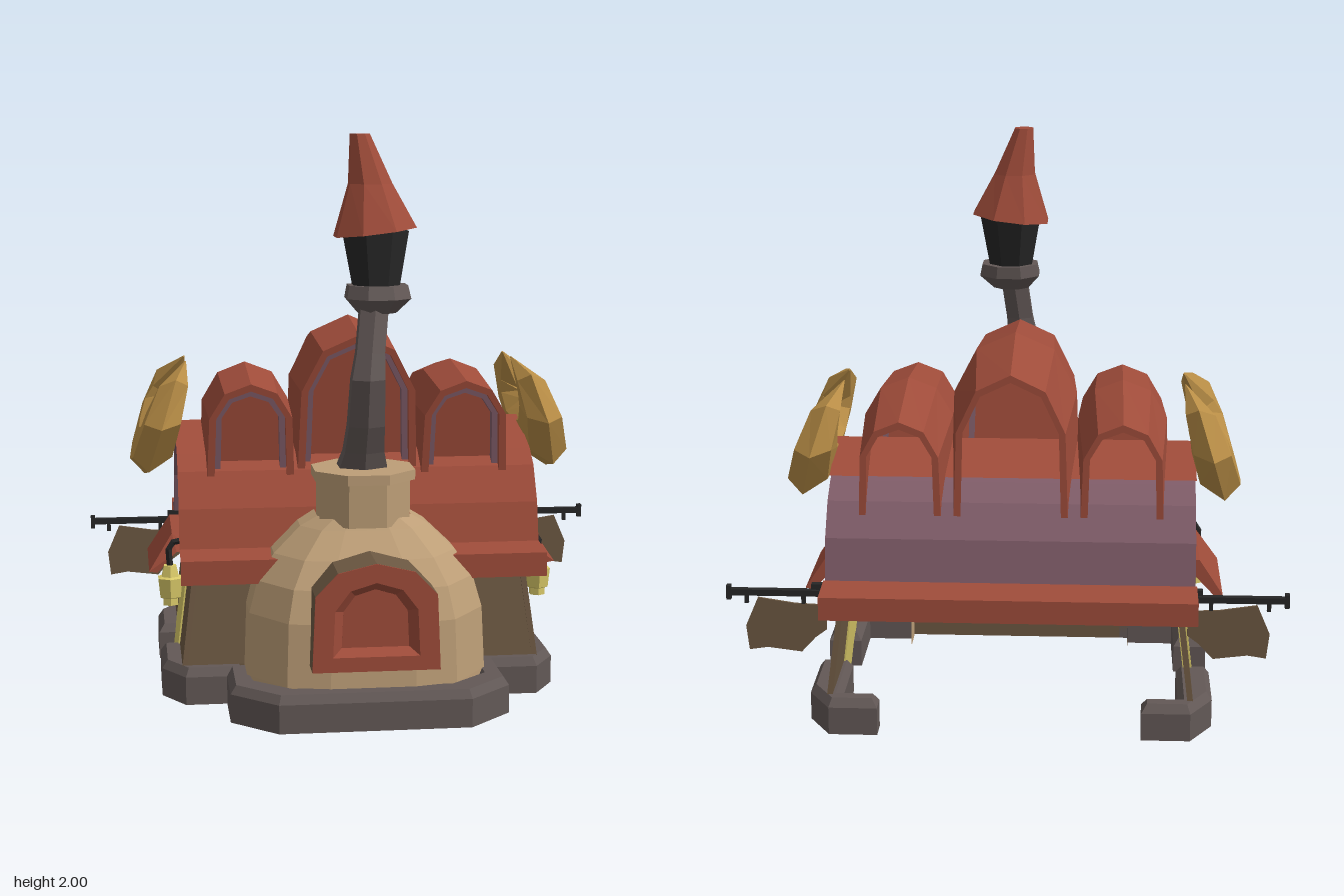
import * as THREE from 'three';

const mat = (name, color) => Object.assign(new THREE.MeshStandardMaterial({ color, side: THREE.DoubleSide }), { name });
const M = {
  roof: mat('roofRed', 0x9f4c3a),
  beam: mat('beamMauve', 0x7f5c68),
  wall: mat('wallBrown', 0x6c5842),
  oven: mat('ovenTan', 0xbd9e77),
  stone: mat('stoneGrey', 0x625856),
  iron: mat('ironBlack', 0x262626),
  glow: mat('doorYellow', 0xd8c868),
  horn: mat('hornGold', 0xb88d46),
};

// Adds a faceted, named mesh to a parent
function add(parent, name, geo, material) {
  const g = geo.index ? geo.toNonIndexed() : geo;
  g.computeVertexNormals();
  const m = new THREE.Mesh(g, material);
  m.name = name;
  parent.add(m);
  return m;
}

// Skin over cross-sections; each ring is a list of [x, y, z]
function loft(rings, closed = true, caps = true) {
  const n = rings[0].length, pos = [], idx = [];
  rings.forEach(r => r.forEach(p => pos.push(...p)));
  for (let i = 0; i < rings.length - 1; i++)
    for (let j = 0; j < (closed ? n : n - 1); j++) {
      const a = i * n + j, b = i * n + (j + 1) % n;
      idx.push(a, a + n, b, b, a + n, b + n);
    }
  if (closed && caps) {
    const e = (rings.length - 1) * n;
    for (let j = 1; j < n - 1; j++) idx.push(0, j, j + 1, e, e + j + 1, e + j);
  }
  const g = new THREE.BufferGeometry();
  g.setAttribute('position', new THREE.Float32BufferAttribute(pos, 3));
  g.setIndex(idx);
  return g;
}

// Round sections [x, y, z, radius] stacked upward
const stack = (list, n = 8) => loft(list.map(([x, y, z, r]) =>
  Array.from({ length: n }, (_, i) => {
    const a = -(i + 0.5) / n * Math.PI * 2;
    return [x + Math.cos(a) * r, y, z + Math.sin(a) * r];
  })));

function warp(geo, rule) {
  const p = geo.attributes.position, v = new THREE.Vector3();
  for (let i = 0; i < p.count; i++) {
    rule(v.fromBufferAttribute(p, i));
    p.setXYZ(i, v.x, v.y, v.z);
  }
  return geo;
}
const lean = geo => warp(geo, v => { v.x -= (v.y - 0.13) * 0.125; });

const shapeOf = pts => new THREE.Shape(pts.map(([x, y]) => new THREE.Vector2(x, y)));
const extrude = (shape, depth, z = 0, opts = {}) =>
  new THREE.ExtrudeGeometry(shape, { depth, bevelEnabled: false, ...opts }).translate(0, 0, z);
// Outline given as [z, y], extruded along x
const extrudeX = (pts, depth, x) =>
  extrude(shapeOf(pts.map(([z, y]) => [-z, y])), depth).rotateY(Math.PI / 2).translate(x, 0, 0);
// Outline given as [x, z], raised as a kerb chamfered along its top only
const kerb = pts => warp(extrude(shapeOf(pts.map(([x, z]) => [x, -z])), 0.1, 0,
  { bevelEnabled: true, bevelSize: 0.02, bevelOffset: -0.02, bevelThickness: 0.03, bevelSegments: 1 }).rotateX(-Math.PI / 2),
v => { v.y = Math.max(v.y, 0); });
// Open sheet following a [z, y] section across the width
const sheet = (pts, hw) => loft([-hw, hw].map(x => pts.map(([z, y]) => [x, y, z])), false);

// Arch outline: half width, foot, spring and crown heights
const arch = (hw, y0, y1, y2) => [[hw, y0], [hw * 0.95, y1], [hw * 0.6, y1 + (y2 - y1) * 0.72], [0, y2],
  [-hw * 0.6, y1 + (y2 - y1) * 0.72], [-hw * 0.95, y1], [-hw, y0]];
const band = (hw, y0, y1, y2, t) => shapeOf([...arch(hw, y0, y1, y2), ...arch(hw - t, y0, y1, y2 - t).reverse()]);

// Barrel dormer, swelling in the middle and raked at the front
function dormer(parent, x, hw, y0, y1, y2) {
  const g = new THREE.Group();
  g.name = 'dormer';
  g.position.x = x;
  parent.add(g);
  const rake = v => { if (v.z > 0) v.z += (v.y - y2) * 0.143; };
  const vault = extrude(band(hw, y0, y1, y2, 0.026), 0.74, -0.5, { steps: 2 });
  add(g, 'dormerRoof', warp(vault, v => {
    const k = v.z > 0 ? 0 : v.z > -0.3 ? 1 : 2;
    v.x *= [1, 1.08, 0.92][k];
    v.y += [0, 0.035, -0.03][k] * (k === 1 ? (v.y - y0) / (y2 - y0) : 1);
    rake(v);
  }), M.roof);
  add(g, 'dormerTrim', warp(extrude(band(hw - 0.026, y0, y1, y2 - 0.026, 0.022), 0.05, 0.16), rake), M.beam);
  add(g, 'dormerFront', warp(extrude(shapeOf(arch(hw - 0.03, y0 - 0.02, y1, y2 - 0.03)), 0.01, 0.165), rake), M.roof);
}

// Everything found on one end of the house, modelled on +x
function endParts(g) {
  const wall = [[0.3, 0], [0.3, 0.13], [0.25, 0.5], [0.21, 0.64], [0.15, 0.76], [0.07, 0.82], [-0.15, 0.89],
    [-0.36, 0.82], [-0.46, 0.75], [-0.52, 0.66], [-0.56, 0.5], [-0.6, 0.13], [-0.6, 0]];
  add(g, 'endWall', lean(extrudeX(wall, 0.02, 0.62)), M.wall);
  add(g, 'door', lean(extrudeX([[0.005, 0], [0.005, 0.45], [-0.3, 0.45], [-0.3, 0]], 0.032, 0.614)), M.glow);
  add(g, 'baseFront', kerb([[0.42, 0.35], [0.63, 0.35], [0.71, 0.22], [0.71, -0.03], [0.59, -0.03], [0.59, 0.25], [0.42, 0.25]]), M.stone);
  add(g, 'baseBack', kerb([[0.71, -0.27], [0.71, -0.52], [0.63, -0.65], [0.46, -0.65], [0.46, -0.57], [0.59, -0.57], [0.59, -0.27]]), M.stone);

  // Awning over the door
  const awning = extrude(shapeOf([[0.59, 0.55], [0.665, 0.55], [0.75, 0.42], [0.72, 0.415], [0.65, 0.49], [0.59, 0.5]]), 0.39, -0.32);
  add(g, 'awning', warp(awning, v => { if (v.z > 0 && v.y > 0.5) v.z -= 0.05; }), M.roof);

  // Hanging lantern
  add(g, 'lantern', stack([[0.675, 0.31, 0.12, 0.03], [0.675, 0.335, 0.12, 0.03], [0.675, 0.34, 0.12, 0.042],
    [0.675, 0.41, 0.12, 0.05], [0.675, 0.415, 0.12, 0.035], [0.675, 0.455, 0.12, 0.025]], 6), M.glow);
  const hook = new THREE.CatmullRomCurve3([[0.59, 0.5], [0.63, 0.545], [0.675, 0.53], [0.675, 0.45]].map(([x, y]) => new THREE.Vector3(x, y, 0.12)));
  add(g, 'lanternHook', new THREE.TubeGeometry(hook, 6, 0.012, 5), M.iron);

  // Crescent horns: half the spine as [dz, y, x, radius], mirrored about the ridge
  const half = [[0.08, 1.17, 0.605, 0.004], [0.2, 1.075, 0.66, 0.085], [0.225, 0.985, 0.69, 0.107], [0.145, 0.885, 0.715, 0.117]];
  const spine = [...half, [0, 0.86, 0.725, 0.115], ...half.map(([d, ...r]) => [-d, ...r]).reverse()];
  add(g, 'horns', loft(spine.map(([dz, y, x, r], i) => {
    const a = spine[Math.max(i - 1, 0)], b = spine[Math.min(i + 1, spine.length - 1)];
    const l = Math.hypot(b[0] - a[0], b[1] - a[1]);
    const nz = (b[1] - a[1]) / l, ny = -(b[0] - a[0]) / l;
    return Array.from({ length: 6 }, (_, k) => {
      const t = k / 6 * Math.PI * 2, c = Math.cos(t) * r;
      // lower parts swing outward, following the tilt of the horns
      return [x + Math.sin(t) * r * 0.7 - ny * c * 0.3, y + ny * c, -0.15 + dz + nz * c];
    });
  })), M.horn);
}

// Sign board on its iron bracket, modelled on +x
function signParts(g) {
  const box = (name, w, h, d, x, y) => add(g, name, new THREE.BoxGeometry(w, h, d).translate(x, y, -0.54), M.iron);
  box('signBracket', 0.38, 0.022, 0.024, 0.79, 0.485);
  box('bracketTip', 0.016, 0.05, 0.024, 0.972, 0.483);
  box('bracketKnob', 0.06, 0.02, 0.024, 0.65, 0.51);
  for (const x of [0.71, 0.91]) box('signHanger', 0.014, 0.04, 0.014, x, 0.465);
  add(g, 'signBoard', extrude(shapeOf([[0.63, 0.44], [0.74, 0.445], [0.87, 0.465], [0.915, 0.36], [0.905, 0.27],
    [0.84, 0.28], [0.72, 0.265], [0.67, 0.32], [0.63, 0.35]]), 0.008, -0.544), M.wall);
}

export function createModel() {
  const model = new THREE.Group();
  model.name = 'forgeHouse';
  const house = new THREE.Group();
  house.name = 'house';
  house.position.x = -0.013;
  model.add(house);

  for (const s of [1, -1]) {
    const end = new THREE.Group(), sign = new THREE.Group();
    end.name = s > 0 ? 'leftEnd' : 'rightEnd';
    sign.name = s > 0 ? 'leftSign' : 'rightSign';
    end.scale.x = sign.scale.x = s;
    endParts(end);
    signParts(sign);
    house.add(end);
    model.add(sign);
  }

  // Front wall
  add(house, 'frontWall', loft([[[-0.64, 0, 0.3], [0.64, 0, 0.3]], [[-0.64, 0.13, 0.3], [0.64, 0.13, 0.3]],
    [[-0.585, 0.55, 0.235], [0.585, 0.55, 0.235]]], false), M.wall);

  // Bell-shaped roof shell with flared eaves
  add(house, 'roofShell', extrudeX([[0.42, 0.455], [0.42, 0.53], [0.275, 0.54], [0.24, 0.68], [0.17, 0.8], [0.1, 0.85],
    [-0.15, 0.935], [-0.39, 0.85], [-0.47, 0.8], [-0.55, 0.69], [-0.58, 0.54], [-0.72, 0.53], [-0.72, 0.46], [-0.545, 0.485],
    [-0.5, 0.67], [-0.44, 0.76], [-0.35, 0.8], [-0.15, 0.87], [0.06, 0.8], [0.13, 0.74], [0.18, 0.65], [0.225, 0.49]], 1.28, -0.64), M.beam);
  add(house, 'roofTiles', sheet([[0.425, 0.45], [0.425, 0.535], [0.28, 0.546], [0.246, 0.683], [0.174, 0.805], [0.102, 0.857],
    [-0.15, 0.942], [-0.375, 0.862]], 0.645), M.roof);
  add(house, 'backEaveTiles', sheet([[-0.585, 0.547], [-0.726, 0.536], [-0.726, 0.454], [-0.66, 0.463]], 0.645), M.roof);

  dormer(house, 0, 0.215, 0.79, 1.09, 1.295);
  for (const s of [1, -1]) dormer(house, s * 0.385, 0.155, 0.79, 1.0, 1.125);

  // Oven dome: [y, half width, front z]
  const dome = [[0, 0.42, 0.65], [0.13, 0.42, 0.65], [0.35, 0.41, 0.64], [0.46, 0.38, 0.605], [0.55, 0.32, 0.55], [0.64, 0.225, 0.475], [0.675, 0.165, 0.45]];
  add(house, 'ovenDome', loft(dome.map(([y, w, z]) => {
    const c = z - w * 0.5;
    return [[-w, y, 0.18], [-w, y, c], [-w * 0.7, y, z - w * 0.08], [-w * 0.35, y, z], [w * 0.35, y, z], [w * 0.7, y, z - w * 0.08], [w, y, c], [w, y, 0.18]];
  }), false), M.oven);
  add(house, 'ovenNeck', stack([[0, 0.65, 0.325, 0.172], [0, 0.81, 0.33, 0.172]]), M.oven);
  add(house, 'ovenCollar', stack([[0, 0.805, 0.335, 0.19], [0, 0.84, 0.335, 0.19]]), M.oven);
  add(house, 'ovenBase', kerb([[-0.485, 0.3], [-0.485, 0.57], [-0.33, 0.72], [0.33, 0.72], [0.485, 0.57], [0.485, 0.3],
    [0.39, 0.3], [0.39, 0.5], [0.27, 0.61], [-0.27, 0.61], [-0.39, 0.5], [-0.39, 0.3]]), M.stone);

  // Oven mouth: brown hood, red face plate and a splayed recess with its door
  const opening = arch(0.148, 0.26, 0.42, 0.515), inner = arch(0.115, 0.285, 0.41, 0.485);
  const hood = shapeOf(arch(0.218, 0.21, 0.47, 0.58));
  hood.holes.push(new THREE.Path(shapeOf(opening).getPoints()));
  add(house, 'ovenHood', extrude(hood, 0.27, 0.45), M.wall);
  add(house, 'ovenFacePlate', extrude(hood, 0.006, 0.721), M.roof);
  add(house, 'ovenRecess', loft([opening.map(p => [...p, 0.726]), inner.map(p => [...p, 0.69])], true, false), M.roof);
  add(house, 'ovenDoor', extrude(shapeOf(inner), 0.005, 0.686), M.roof);

  // Crooked chimney with its cap
  add(house, 'chimneyPipe', stack([[0, 0.83, 0.3, 0.1], [0, 0.9, 0.35, 0.08], [0, 1.0, 0.415, 0.072], [0, 1.17, 0.475, 0.066],
    [0.01, 1.26, 0.455, 0.056], [0.03, 1.42, 0.405, 0.056]], 6), M.stone);
  add(house, 'chimneyRing', stack([[0.04, 1.39, 0.39, 0.07], [0.045, 1.44, 0.385, 0.12], [0.045, 1.485, 0.375, 0.11]]), M.stone);
  add(house, 'chimneyPot', stack([[0.04, 1.48, 0.375, 0.085], [0.04, 1.67, 0.355, 0.12]]), M.iron);
  const cap = stack([[0.04, 1.66, 0.345, 0.15], [0.025, 1.83, 0.335, 0.08], [-0.01, 2, 0.325, 0.036]]);
  add(house, 'chimneyCap', warp(cap, v => { if (v.y < 1.7) v.y += v.x * 0.12; }), M.roof);

  return model;
}
